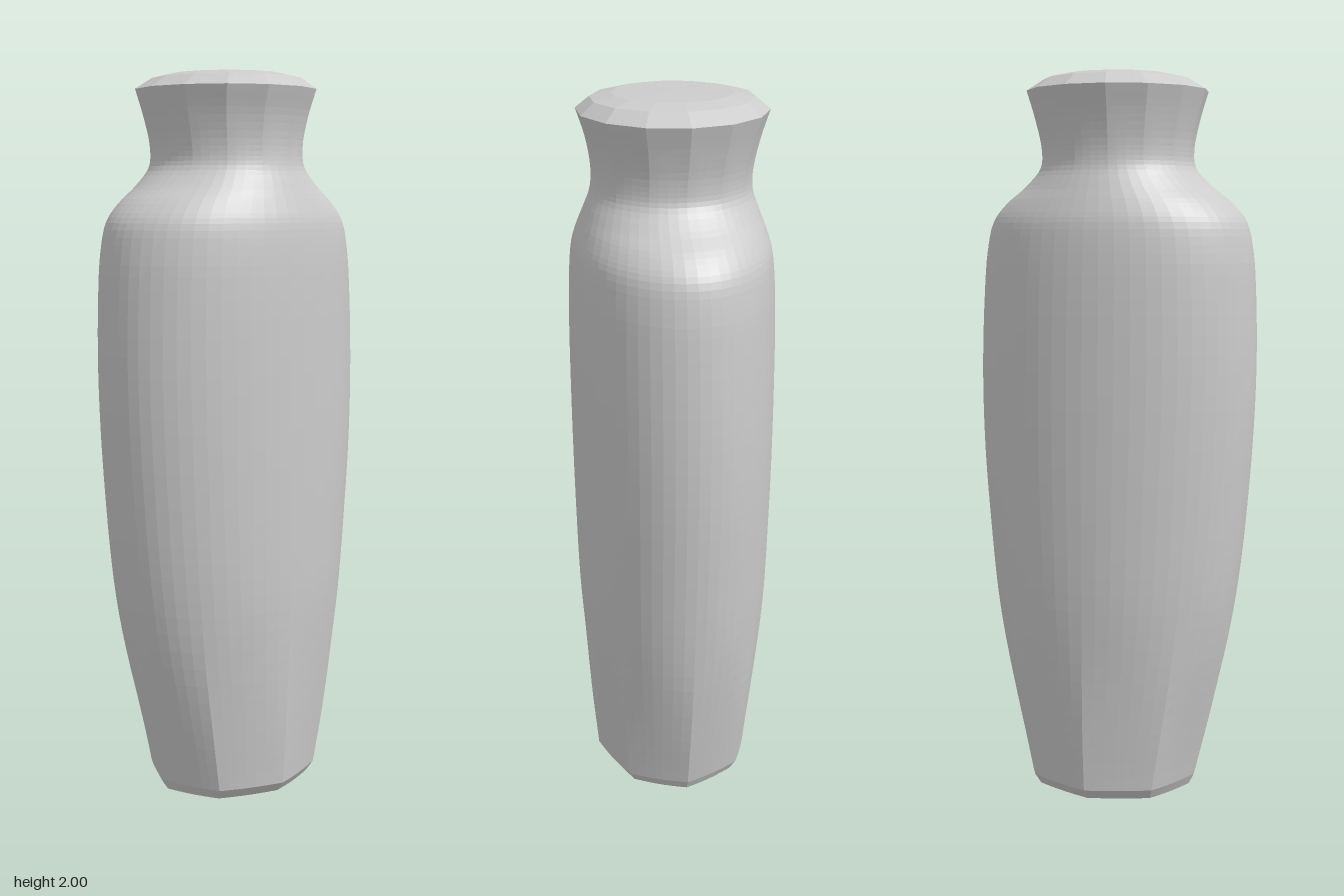
import * as THREE from 'three';

const SEGMENTS = 56;
const { smoothstep } = THREE.MathUtils;

// Half-width, height and half-depth of the vase, from foot to rim
const PROFILE = [
  [0.228, 0.03, 0.25], [0.243, 0.2, 0.29], [0.256, 0.4, 0.33], [0.267, 0.6, 0.358],
  [0.272, 0.8, 0.378], [0.275, 1.0, 0.392], [0.276, 1.2, 0.397], [0.275, 1.4, 0.391],
  [0.271, 1.52, 0.381], [0.263, 1.6, 0.362], [0.248, 1.65, 0.322], [0.23, 1.7, 0.258],
  [0.214, 1.75, 0.214], [0.213, 1.8, 0.211], [0.228, 1.88, 0.228], [0.252, 1.955, 0.25],
];

// Radius factor of a regular polygon with a corner at angle 0
function polygon(angle, sides) {
  const step = (2 * Math.PI) / sides;
  return Math.cos(step / 2) / Math.cos((angle % step) - step / 2);
}

// One oval ring, cut to coarse facets near the foot and the rim
function ring([rx, y, rz]) {
  const foot = 1 - smoothstep(y, 0.05, 0.6);
  const rim = smoothstep(y, 1.7, 1.9);
  const cz = 0.007 * smoothstep(y, 0.8, 1.6) - 0.012 * (1 - smoothstep(y, 0, 0.8));
  const points = [];
  for (let i = 0; i < SEGMENTS; i++) {
    const a = (i / SEGMENTS) * 2 * Math.PI;
    const r = 1 + foot * (polygon(a, 8) - 1) * 0.7 + rim * (polygon(a, 14) - 1);
    points.push(rx * r * Math.sin(a) - 0.005 * rim, y, rz * r * Math.cos(a) + cz);
  }
  return points;
}

export function createModel() {
  const group = new THREE.Group();
  const curve = new THREE.CatmullRomCurve3(PROFILE.map((p) => new THREE.Vector3(...p)));
  const sections = curve.getPoints(60).map((p) => p.toArray());

  // Flat foot below, low domed lid inside the rim
  sections.unshift([0, 0, 0], [0.205, 0, 0.235]);
  sections.push([0.215, 1.985, 0.2], [0.16, 1.997, 0.15], [0, 2, 0]);

  const positions = sections.flatMap(ring);
  const index = [];
  for (let j = 0; j < sections.length - 1; j++) {
    for (let i = 0; i < SEGMENTS; i++) {
      const a = j * SEGMENTS + i;
      const b = j * SEGMENTS + ((i + 1) % SEGMENTS);
      const c = a + SEGMENTS;
      const d = b + SEGMENTS;
      if (j > 0) index.push(a, b, d);
      if (j < sections.length - 2) index.push(a, d, c);
      else index.push(a, b, c);
    }
  }

  const geometry = new THREE.BufferGeometry();
  geometry.setAttribute('position', new THREE.Float32BufferAttribute(positions, 3));
  geometry.setIndex(index);
  geometry.computeVertexNormals();

  const vase = new THREE.Mesh(
    geometry,
    new THREE.MeshStandardMaterial({ color: 0xcccccc, flatShading: true }),
  );
  vase.name = 'vase';
  group.add(vase);
  return group;
}
